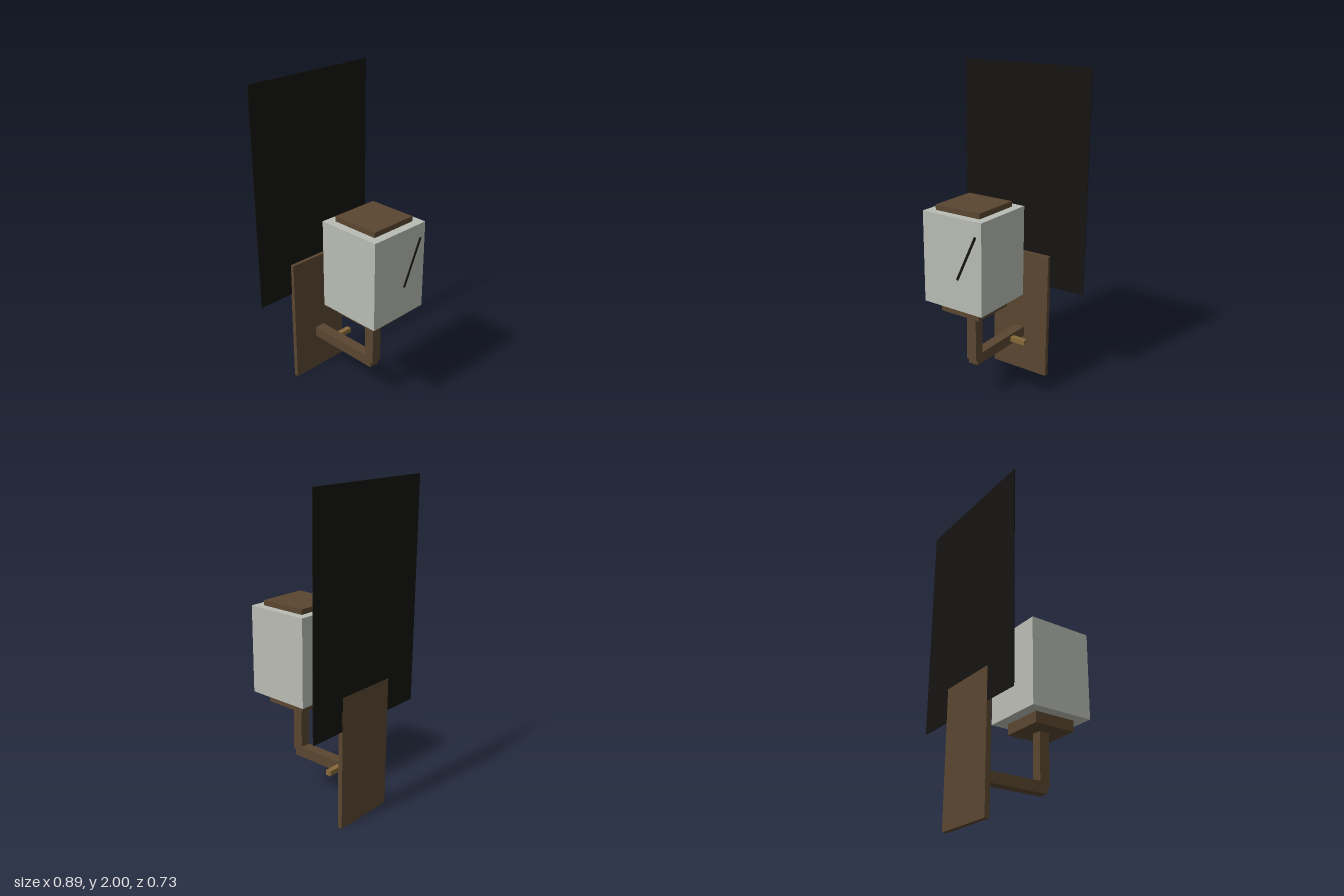
import * as THREE from 'three';

const paint = (color) => new THREE.MeshStandardMaterial({ color });

export function createModel() {
  const model = new THREE.Group();
  model.name = 'wallLamp';
  const wood = paint(0x5a4630);
  const lightWood = paint(0x87683a);
  const glass = paint(0xb9bcb4);
  const black = paint(0x141311);

  // Box given by its extents along each axis
  function block(name, material, [x0, x1], [y0, y1], [z0, z1]) {
    const mesh = new THREE.Mesh(new THREE.BoxGeometry(x1 - x0, y1 - y0, z1 - z0), material);
    mesh.position.set((x0 + x1) / 2, (y0 + y1) / 2, (z0 + z1) / 2);
    mesh.name = name;
    model.add(mesh);
    return mesh;
  }

  // Wall mounting
  block('wallPlate', wood, [-0.206, 0.206], [0, 0.83], [-0.362, -0.332]);
  block('backPanel', black, [-0.447, 0.447], [0.625, 2], [-0.361, -0.356]);

  // Bracket arm and its peg switch
  block('horizontalArm', wood, [-0.034, 0.034], [0.242, 0.31], [-0.332, 0.17]);
  block('verticalArm', wood, [-0.0335, 0.0335], [0.278, 0.607], [0.12, 0.187]);
  block('switchPeg', lightWood, [0.034, 0.137], [0.263, 0.295], [-0.211, -0.178]);

  // Lantern
  block('shadeBase', wood, [-0.137, 0.137], [0.607, 0.676], [0.015, 0.29]);
  block('shade', glass, [-0.206, 0.206], [0.676, 1.228], [-0.055, 0.358]);
  block('shadeCap', wood, [-0.155, 0.155], [1.228, 1.26], [-0.004, 0.305]);

  // Slanted stroke on the front of the shade
  const stroke = block('slantedStroke', black, [0.095, 0.109], [0.85, 1.155], [0.356, 0.363]);
  stroke.rotation.z = -Math.atan2(0.13, 0.28);

  return model;
}
